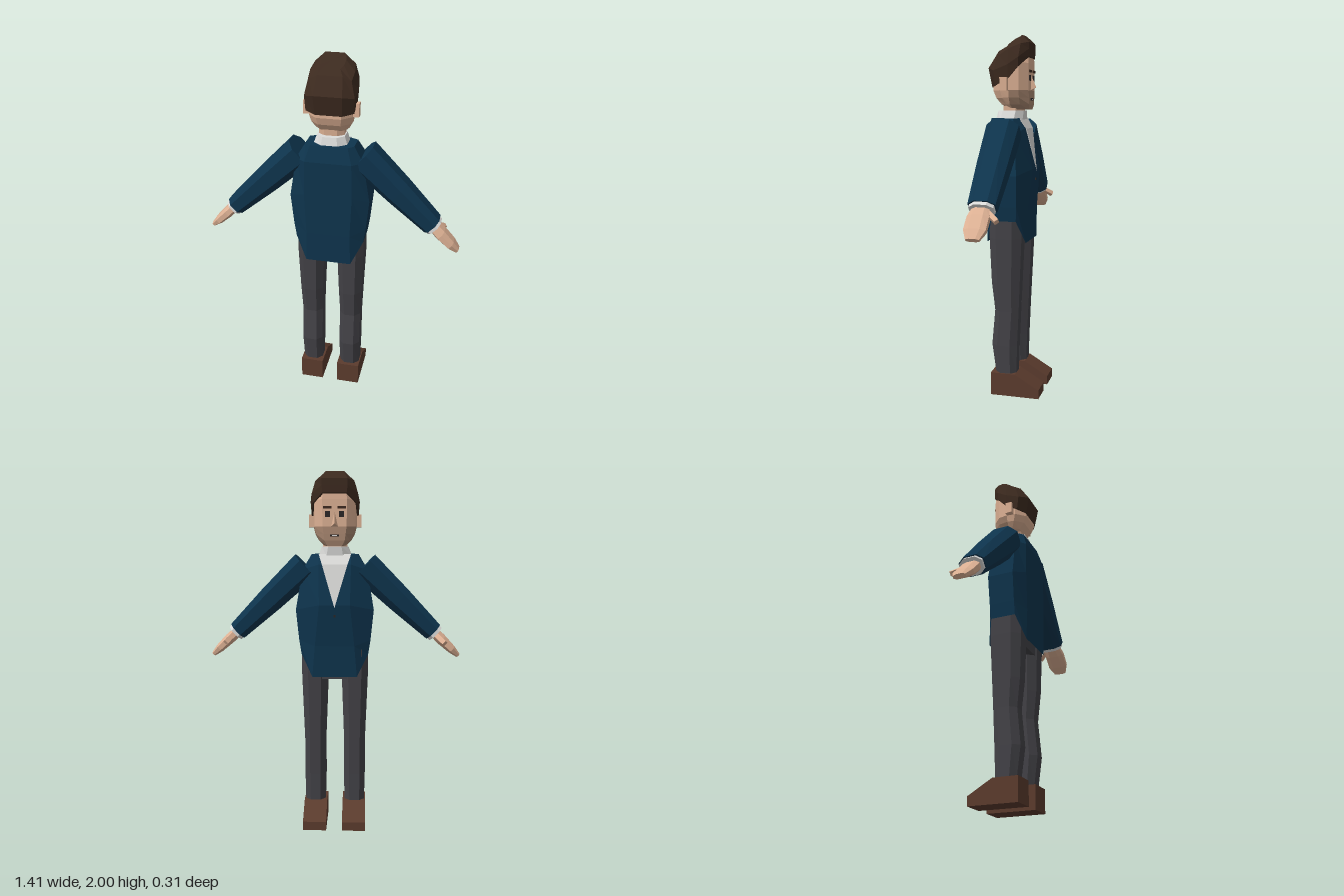
import * as THREE from 'three';
import { ConvexGeometry } from 'three/addons/geometries/ConvexGeometry.js';

const mat = (name, color, extra = {}) => {
  const m = new THREE.MeshStandardMaterial({ color, ...extra });
  m.name = name;
  return m;
};

// Mirrors a +x half section (front to back) into a full ring
const ring = (half) => [...half, ...half.slice().reverse().map(([x, y, z]) => [-x, y, z])];

// Eight-sided section, centred on x = 0, from z0 to z1
const oct = (y, hx, z0, z1, k = 0.5) => {
  const c = (z0 + z1) / 2, h = ((z1 - z0) / 2) * k;
  return ring([[hx * k, y, z0], [hx, y, c - h], [hx, y, c + h], [hx * k, y, z1]]);
};

// Faceted skin through rings, lowest first; pick(i, j) chooses a material per panel
function loft(rings, { bottom = true, top = true, pick = () => 0 } = {}) {
  const panels = [[], []];
  const n = rings[0].length;
  for (let i = 0; i + 1 < rings.length; i++) {
    for (let j = 0; j < n; j++) {
      const k = (j + 1) % n;
      const a = rings[i][j], b = rings[i][k], c = rings[i + 1][k], d = rings[i + 1][j];
      panels[pick(i, j)].push(...a, ...d, ...c, ...a, ...c, ...b);
    }
  }
  const cap = (r, up, p) => {
    const mid = [0, 1, 2].map((q) => r.reduce((s, v) => s + v[q], 0) / n);
    for (let j = 0; j < n; j++) {
      const a = r[j], b = r[(j + 1) % n];
      panels[p].push(...mid, ...(up ? b : a), ...(up ? a : b));
    }
  };
  if (bottom) cap(rings[0], false, pick(0, 0));
  if (top) cap(rings[rings.length - 1], true, 0);
  const geo = new THREE.BufferGeometry();
  geo.setAttribute('position', new THREE.Float32BufferAttribute([...panels[0], ...panels[1]], 3));
  if (panels[1].length) {
    geo.addGroup(0, panels[0].length / 3, 0);
    geo.addGroup(panels[0].length / 3, panels[1].length / 3, 1);
  }
  geo.computeVertexNormals();
  return geo;
}

export function createModel() {
  const skin = mat('skin', 0xdcb093);
  const beard = mat('stubble', 0xa88770);
  const hair = mat('hair', 0x3c2a1f);
  const jacket = mat('jacket blue', 0x0e344d, { side: THREE.DoubleSide });
  const trousers = mat('trouser grey', 0x434247);
  const leather = mat('shoe brown', 0x5b3b2d);
  const white = mat('shirt white', 0xdcdcda);
  const dark = mat('eye dark', 0x2b2626);

  const model = new THREE.Group();
  const add = (name, geo, material, parent = model) => {
    const m = new THREE.Mesh(geo, material);
    m.name = name;
    parent.add(m);
    return m;
  };
  const box = (name, w, h, d, x, y, z, material, parent = model) => {
    const m = add(name, new THREE.BoxGeometry(w, h, d), material, parent);
    m.position.set(x, y, z);
    return m;
  };
  const hull = (name, pts, material) =>
    add(name, new ConvexGeometry(pts.map((p) => new THREE.Vector3(...p))), material);

  // Jacket body with a hem that rises at the sides
  add('jacketBody', loft([
    ring([[0.125, 0.875, -0.07], [0.188, 1.0, -0.03], [0.188, 1.0, 0.11], [0.125, 0.875, 0.15]]),
    ring([[0.11, 1.05, -0.075], [0.2, 1.08, -0.035], [0.2, 1.08, 0.11], [0.12, 1.05, 0.155]]),
    ring([[0.085, 1.28, -0.097], [0.217, 1.25, -0.04], [0.217, 1.25, 0.11], [0.13, 1.28, 0.155]]),
    ring([[0.09, 1.5, -0.055], [0.18, 1.47, -0.02], [0.18, 1.47, 0.11], [0.125, 1.47, 0.155]]),
    ring([[0.09, 1.555, -0.02], [0.13, 1.555, 0], [0.13, 1.555, 0.1], [0.1, 1.555, 0.13]]),
  ], { bottom: false }), jacket);

  // Shirt front, collar and jacket button
  hull('shirtFront', [
    [-0.09, 1.558, -0.025], [0.09, 1.558, -0.025], [-0.07, 1.5, -0.06], [0.07, 1.5, -0.06],
    [0, 1.265, -0.101], [0, 1.45, -0.03],
  ], white);
  add('collar', loft([
    oct(1.545, 0.092, -0.03, 0.122), oct(1.597, 0.074, -0.035, 0.11),
  ]), white);
  box('jacketButton', 0.012, 0.012, 0.006, 0, 1.22, -0.094, dark);

  // Neck and head, with stubble on the front of the jaw
  add('neck', loft([oct(1.53, 0.068, -0.022, 0.078), oct(1.66, 0.068, -0.022, 0.085)]), skin);
  const headRing = (y, hx, cx, zf, zb) => ring([
    [cx, y, zf], [hx * 0.93, y, zf + 0.045], [hx, y, Math.min(0.03, zb - 0.02)],
    [hx * 0.95, y, Math.max(zb - 0.05, zb * 0.6)], [cx, y, zb],
  ]);
  add('head', loft([
    headRing(1.602, 0.06, 0.04, -0.064, 0.04),
    headRing(1.63, 0.09, 0.055, -0.07, 0.085),
    headRing(1.665, 0.11, 0.06, -0.07, 0.115),
    headRing(1.705, 0.12, 0.065, -0.069, 0.13),
    headRing(1.85, 0.121, 0.068, -0.069, 0.13),
    headRing(1.9, 0.1, 0.06, -0.066, 0.09),
  ], { pick: (i, j) => (i < 3 && [0, 1, 7, 8, 9].includes(j) ? 1 : 0) }), [skin, beard]);

  // Swept-up hair
  add('hair', loft([
    ring([[0.066, 1.885, -0.073], [0.122, 1.83, -0.025], [0.13, 1.765, 0.03], [0.126, 1.73, 0.1], [0.07, 1.722, 0.134]]),
    ring([[0.07, 1.925, -0.073], [0.127, 1.88, -0.028], [0.136, 1.84, 0.03], [0.13, 1.81, 0.11], [0.075, 1.825, 0.154]]),
    ring([[0.07, 1.96, -0.072], [0.105, 1.95, -0.035], [0.115, 1.925, 0.03], [0.108, 1.89, 0.085], [0.065, 1.915, 0.098]]),
    ring([[0.05, 2.0, -0.03], [0.06, 1.99, -0.02], [0.065, 1.975, 0.01], [0.06, 1.955, 0.04], [0.045, 1.942, 0.057]]),
  ]), hair);

  // Face
  hull('nose', [
    [0, 1.785, -0.069], [0, 1.722, -0.096], [-0.02, 1.705, -0.066], [0.02, 1.705, -0.066],
  ], skin);
  box('mouth', 0.05, 0.012, 0.006, 0, 1.658, -0.071, dark);
  box('teeth', 0.026, 0.006, 0.008, 0, 1.657, -0.071, white);

  for (const s of [-1, 1]) {
    box('eye', 0.026, 0.03, 0.006, s * 0.038, 1.772, -0.07, dark);
    box('eyebrow', 0.046, 0.013, 0.008, s * 0.039, 1.808, -0.071, hair);
    box('ear', 0.032, 0.07, 0.04, s * 0.13, 1.738, 0.052, skin);

    // Arm: local y runs from the shoulder to the fingertips
    const arm = new THREE.Group();
    arm.name = 'arm';
    arm.position.set(s * 0.165, 1.49, 0);
    arm.rotation.z = -s * 2.328;
    model.add(arm);
    add('sleeve', loft([
      oct(0, 0.085, -0.05, 0.13), oct(0.27, 0.073, -0.044, 0.122), oct(0.534, 0.054, -0.034, 0.11),
    ]), jacket, arm);
    add('cuff', loft([oct(0.52, 0.048, -0.026, 0.102), oct(0.553, 0.048, -0.026, 0.102)]), white, arm);
    add('hand', loft([
      oct(0.54, 0.027, -0.005, 0.085), oct(0.6, 0.03, -0.014, 0.1),
      oct(0.68, 0.024, -0.014, 0.1), oct(0.733, 0.013, 0.008, 0.078),
    ]), skin, arm);
    const thumb = box('thumb', 0.026, 0.085, 0.024, 0, 0.588, -0.022, skin, arm);
    thumb.rotation.x = -0.8;

    // Trouser leg
    const leg = add('trouserLeg', loft([
      oct(0.12, 0.057, -0.02, 0.097), oct(0.29, 0.061, -0.025, 0.12), oct(0.49, 0.06, -0.034, 0.102),
      oct(0.65, 0.066, -0.041, 0.12), oct(0.9, 0.075, -0.052, 0.13), oct(1.03, 0.074, -0.054, 0.13),
    ]), trousers);
    leg.position.x = s * 0.113;

    // Wedge-toed shoe
    const profile = new THREE.Shape([
      [-0.12, 0], [0.157, 0], [0.157, 0.05], [0.02, 0.13], [-0.12, 0.13],
    ].map((p) => new THREE.Vector2(...p)));
    const shoe = add('shoe', new THREE.ExtrudeGeometry(profile, { depth: 0.132, bevelEnabled: false }), leather);
    shoe.rotation.y = Math.PI / 2;
    shoe.position.x = s * 0.111 - 0.066;
  }

  // Hips joining the legs
  add('hips', loft([oct(0.857, 0.12, -0.045, 0.12, 0.7), oct(1.04, 0.17, -0.05, 0.13, 0.7)]), trousers);

  return model;
}
